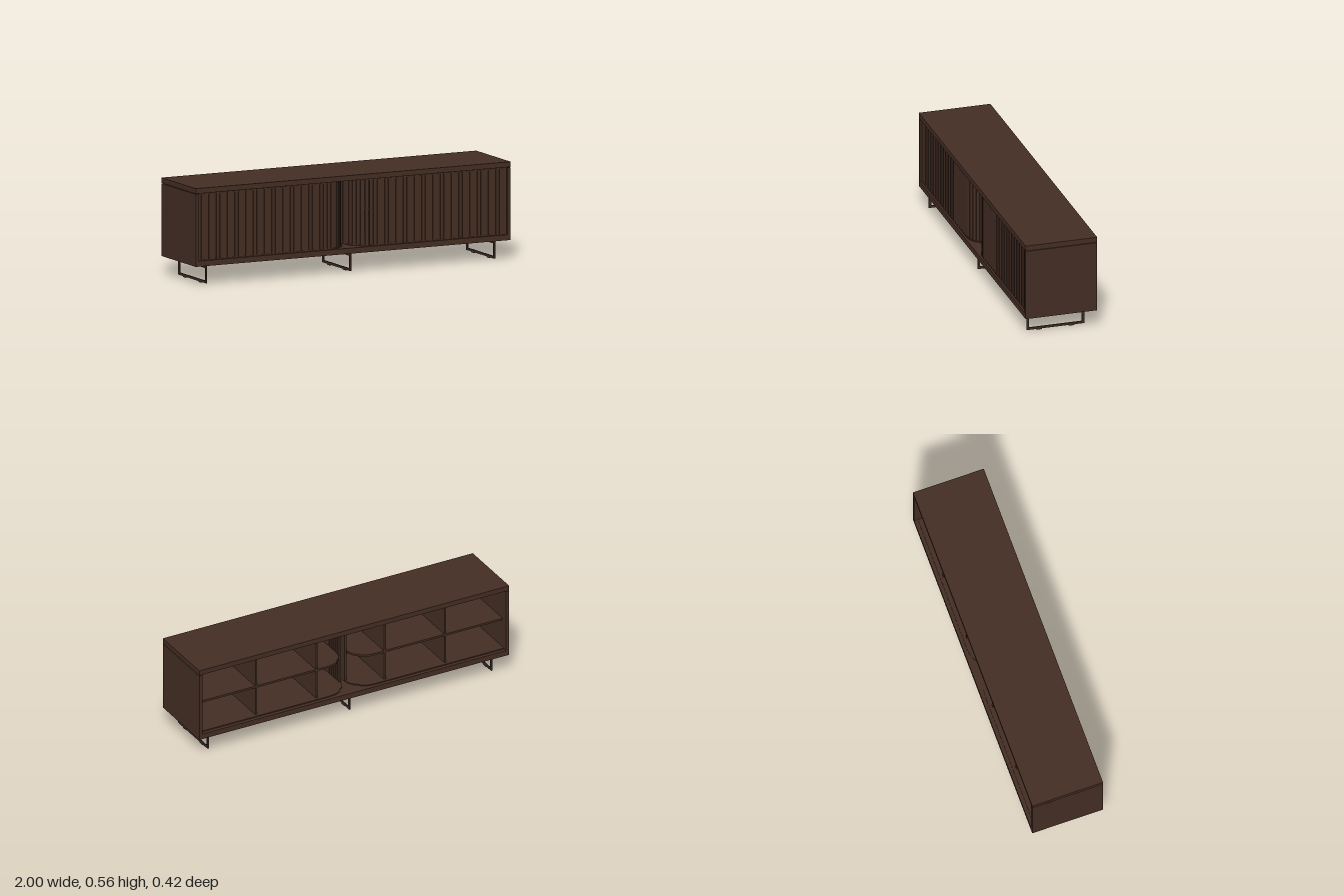
import * as THREE from 'three';

export function createModel() {
  const model = new THREE.Group();
  const wood = new THREE.MeshStandardMaterial({ color: 0x432d23 });
  wood.name = 'dark walnut';
  const metal = new THREE.MeshStandardMaterial({ color: 0x3f2a24 });
  metal.name = 'bronze metal';

  const add = (parent, name, geometry, material = wood) => {
    const mesh = new THREE.Mesh(geometry, material);
    mesh.name = name;
    parent.add(mesh);
    return mesh;
  };
  // Box given by its limits on each axis
  const box = (parent, name, x0, x1, y0, y1, z0, z1, material = wood) => {
    const g = new THREE.BoxGeometry(Math.abs(x1 - x0), y1 - y0, z1 - z0);
    g.translate((x0 + x1) / 2, (y0 + y1) / 2, (z0 + z1) / 2);
    return add(parent, name, g, material);
  };

  // Carcass
  box(model, 'topPanel', -1, 1, 0.528, 0.558, -0.212, 0.212);
  box(model, 'basePanel', -1, 1, 0.11, 0.142, -0.212, 0.212);

  // Horizontal board whose inner end has rounded corners
  const board = (parent, name, s, y, thickness, inner, back, front, r) => {
    const shape = new THREE.Shape();
    shape.moveTo(s * 0.98, back);
    shape.lineTo(s * 0.98, front);
    shape.lineTo(s * (inner + r), front);
    shape.quadraticCurveTo(s * (inner + r * 0.42), front, s * (inner + r * 0.29), front - r * 0.29);
    shape.quadraticCurveTo(s * inner, front - r * 0.42, s * inner, front - r);
    shape.lineTo(s * inner, back + r);
    shape.quadraticCurveTo(s * inner, back + r * 0.42, s * (inner + r * 0.29), back + r * 0.29);
    shape.quadraticCurveTo(s * (inner + r * 0.42), back, s * (inner + r), back);
    shape.closePath();
    const g = new THREE.ExtrudeGeometry(shape, { depth: thickness, bevelEnabled: false, curveSegments: 8 });
    g.rotateX(Math.PI / 2);
    g.translate(0, y, 0);
    return add(parent, name, g);
  };

  // Centre line of the sliding door: front run, quarter turn, run into the middle gap
  const R = 0.145, xIn = 0.017, zFront = 0.193;
  const xTurn = xIn + R, zTurn = zFront - R, front = 0.97 - xTurn, arc = R * Math.PI / 2;
  const doorPoint = (d) => {
    if (d < front) return { x: 0.97 - d, z: zFront, a: 0 };
    if (d < front + arc) {
      const a = (d - front) / R;
      return { x: xTurn - R * Math.sin(a), z: zTurn + R * Math.cos(a), a };
    }
    return { x: xIn, z: zTurn - (d - front - arc), a: Math.PI / 2 };
  };

  for (const s of [1, -1]) {
    const half = new THREE.Group();
    half.name = s > 0 ? 'leftCabinet' : 'rightCabinet';
    model.add(half);

    box(half, 'sidePanel', s * 0.98, s, 0.142, 0.525, -0.212, 0.212);
    for (const x of [0.61, 0.22]) {
      box(half, 'divider', s * (x - 0.006), s * (x + 0.006), 0.142, 0.52, -0.172, 0.178);
    }
    board(half, 'shelf', s, 0.333, 0.012, 0.03, -0.172, 0.18, 0.13);
    board(half, 'lowerGuide', s, 0.148, 0.006, 0.012, -0.19, 0.2, 0.15);
    board(half, 'upperGuide', s, 0.525, 0.006, 0.012, -0.19, 0.2, 0.15);

    // Slatted sliding door
    const door = new THREE.Group();
    door.name = 'slattedDoor';
    half.add(door);
    const pitch = 0.0235, length = front + arc + 0.12;
    const slat = new THREE.BoxGeometry(0.0212, 0.372, 0.012);
    for (let d = 0; d < length; d += pitch) {
      const p = doorPoint(d);
      const mesh = add(door, 'slat', slat);
      mesh.position.set(s * p.x, 0.334, p.z);
      mesh.rotation.y = -s * p.a;
    }
  }

  // Rectangular loop legs with mounting plate and glides
  const rect = (Type, z0, z1, y0, y1) => {
    const p = new Type();
    p.moveTo(z0, y0);
    p.lineTo(z1, y0);
    p.lineTo(z1, y1);
    p.lineTo(z0, y1);
    p.closePath();
    return p;
  };
  for (const x of [-0.915, 0, 0.915]) {
    const leg = new THREE.Group();
    leg.name = 'leg';
    leg.position.x = x;
    model.add(leg);
    const loop = rect(THREE.Shape, -0.18, 0.162, 0.005, 0.105);
    loop.holes.push(rect(THREE.Path, -0.166, 0.148, 0.018, 0.091));
    const g = new THREE.ExtrudeGeometry(loop, { depth: 0.008, bevelEnabled: false });
    g.translate(0, 0, -0.004);
    g.rotateY(Math.PI / 2);
    add(leg, 'legLoop', g, metal);
    box(leg, 'mountingPlate', -0.004, 0.004, 0.105, 0.11, -0.103, 0.122, metal);
    for (const z of [-0.103, 0.088]) {
      box(leg, 'glide', -0.004, 0.004, 0, 0.005, z, z + 0.034, metal);
    }
  }
  return model;
}
